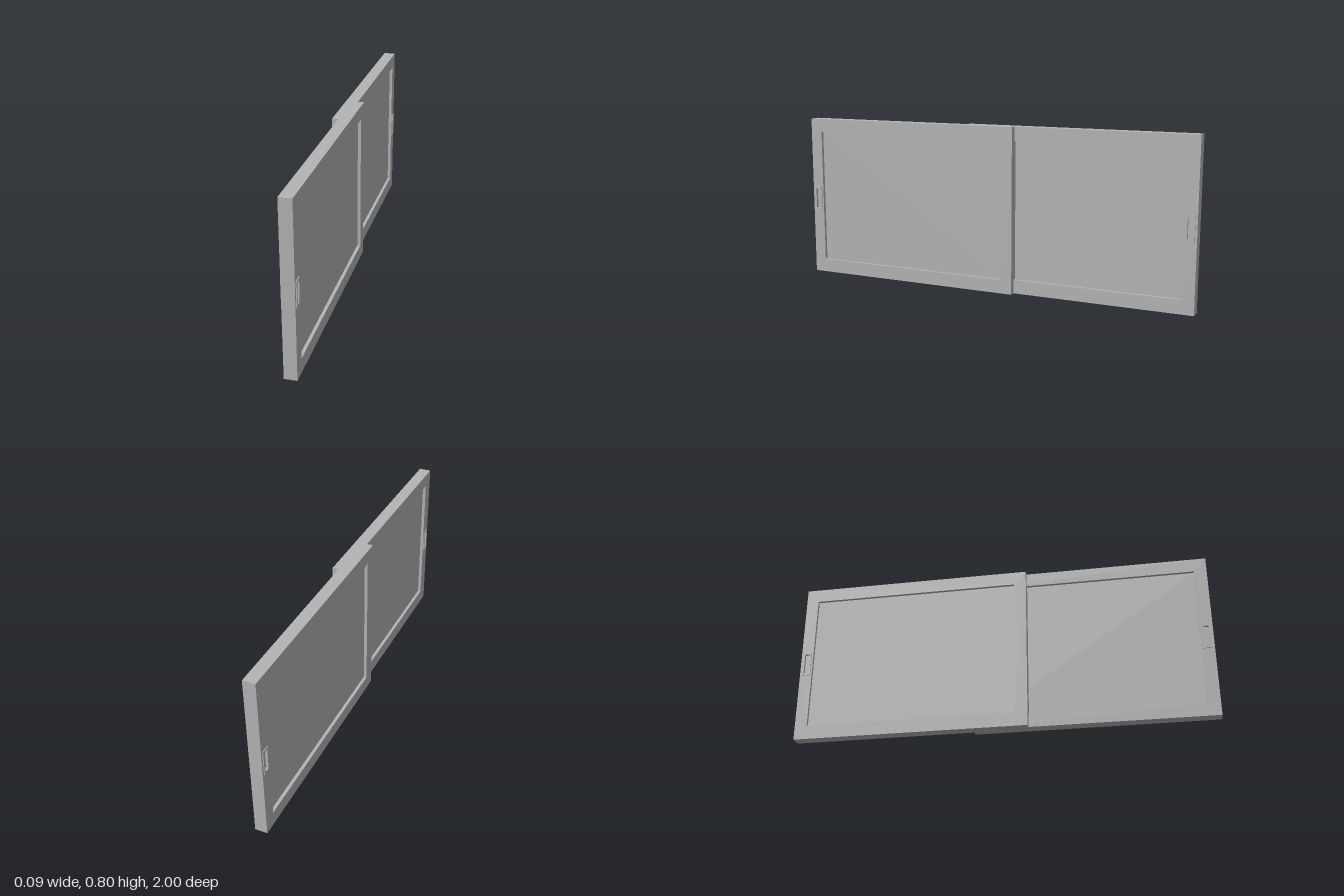
import * as THREE from 'three';

const grey = new THREE.MeshStandardMaterial({ color: 0xb4b4b4 });
grey.name = 'grey';

const CENTER_X = 0.0145; // middle of a panel's thickness
const THICK = 0.058;

// Rectangle in the z-y plane, as a shape or a hole
function rect(Type, z0, z1, y0, y1) {
  const r = new Type();
  r.moveTo(z0, y0);
  r.lineTo(z1, y0);
  r.lineTo(z1, y1);
  r.lineTo(z0, y1);
  r.closePath();
  return r;
}

// Slab of the given thickness centred on the panel, with rectangular holes
function slab(name, outer, holes, thickness) {
  const shape = rect(THREE.Shape, ...outer);
  for (const h of holes) shape.holes.push(rect(THREE.Path, ...h));
  const geo = new THREE.ExtrudeGeometry(shape, { depth: thickness, bevelEnabled: false });
  geo.translate(0, 0, -thickness / 2);
  geo.rotateY(-Math.PI / 2);
  geo.translate(CENTER_X, 0, 0);
  const mesh = new THREE.Mesh(geo, grey);
  mesh.name = name;
  return mesh;
}

function slidingPanel(name) {
  const panel = new THREE.Group();
  panel.name = name;
  const opening = [-0.07, 0.94, 0.067, 0.738];
  const grip = [0.948, 0.99, 0.33, 0.453];
  const gripHole = [0.957, 0.981, 0.341, 0.442];
  panel.add(
    slab('frame', [-0.13, 1, 0, 0.804], [opening, grip], THICK),
    slab('pane', opening, [], 0.028),
    // Recessed pull: raised rim on both faces around a sunken plate
    slab('handleRim', grip, [gripHole], THICK + 0.008),
    slab('handleRecess', gripHole, [], 0.042)
  );
  return panel;
}

export function createModel() {
  const model = new THREE.Group();
  model.name = 'slidingWindow';
  const front = slidingPanel('frontPanel');
  // The rear panel is the same panel turned half way round
  const rear = slidingPanel('rearPanel');
  rear.rotation.y = Math.PI;
  model.add(front, rear);
  return model;
}
